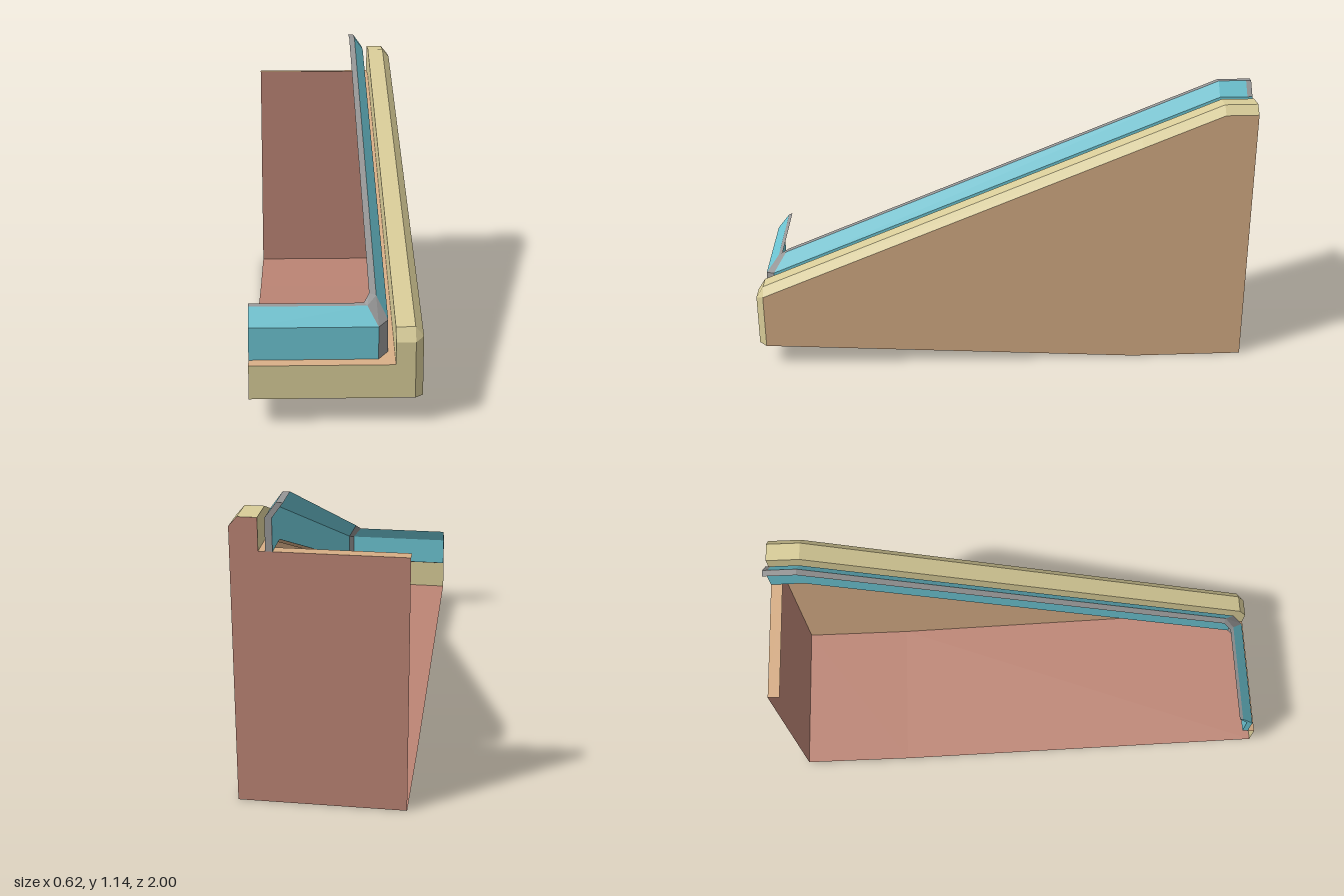
import * as THREE from 'three';

const material = (name, color) => {
  const m = new THREE.MeshStandardMaterial({ color, side: THREE.DoubleSide });
  m.name = name;
  return m;
};

// Flat-shaded sheet: each face is a convex list of [x, y, z] corners
function sheet(group, name, mat, faces) {
  const pos = [];
  for (const f of faces)
    for (let i = 1; i < f.length - 1; i++) pos.push(...f[0], ...f[i], ...f[i + 1]);
  const geo = new THREE.BufferGeometry();
  geo.setAttribute('position', new THREE.Float32BufferAttribute(pos, 3));
  geo.computeVertexNormals();
  const mesh = new THREE.Mesh(geo, mat);
  mesh.name = name;
  group.add(mesh);
}

// Quads joining two polylines with the same number of points
const strip = (a, b) => a.slice(1).map((p, i) => [a[i], p, b[i + 1], b[i]]);

// Height of the sloping rail, and of the underside
const rail = (z) => 0.35 + (0.74 * (0.97 - Math.max(-0.87, Math.min(0.97, z)))) / 1.84;
const under = (z) => (Math.max(0, z + 0.55) * 0.095) / 1.55;
const ledgeY = (z) => (z > 0.97 ? 0.22 : rail(z) - 0.12);

export function createModel() {
  const g = new THREE.Group();
  g.name = 'slopedTrough';
  const tan = material('tan', 0xd6ad85);
  const cream = material('cream', 0xd8cc98);
  const pink = material('dusty pink', 0xbb8474);
  const teal = material('teal', 0x6cc4d2);
  const grey = material('grey', 0x969696);

  const zs = [0.97, -0.55, -0.87, -1];
  const run = (x, y) => zs.map((z) => [x, y(z), z]);

  // Side wall
  sheet(g, 'sideWall', tan, strip(run(0.31, under), run(0.31, (z) => rail(z) - 0.035)));

  // Floor, with the front corner cut off
  sheet(g, 'floor', pink, [
    [[-0.31, under(1), 1], [0.28, under(1), 1], [0.31, under(0.97), 0.97], [0.31, 0, -0.55], [-0.31, 0, -0.55]],
    [[-0.31, 0, -0.55], [0.31, 0, -0.55], [0.31, 0, -1], [-0.31, 0, -1]],
  ]);

  // Back wall, taller behind the rail
  sheet(g, 'backWall', pink, [
    [[-0.31, 0, -1], [0.21, 0, -1], [0.21, 0.97, -1], [-0.31, 0.97, -1]],
    [[0.21, 0, -1], [0.31, 0, -1], [0.31, 1.055, -1], [0.28, 1.09, -1], [0.21, 1.09, -1]],
  ]);

  // Front wall with its chamfered corner
  const f0 = under(1);
  sheet(g, 'frontWall', cream, [
    [[-0.31, f0, 1], [0.21, f0, 1], [0.21, 0.22, 1], [-0.31, 0.22, 1]],
    [[0.21, f0, 1], [0.28, f0, 1], [0.28, 0.303, 1], [0.21, 0.303, 1]],
    [[0.28, f0, 1], [0.31, under(0.97), 0.97], [0.31, 0.315, 0.97], [0.28, 0.303, 1]],
  ]);

  // Rail: top, outer chamfer, inner step and front slope
  sheet(g, 'rail', cream, [
    ...strip(run(0.21, rail), run(0.28, rail)),
    ...strip(run(0.28, rail), run(0.31, (z) => rail(z) - 0.035)),
    ...strip(run(0.21, ledgeY), run(0.21, rail)),
    [[0.21, 0.22, 1], [0.21, 0.303, 1], [0.21, 0.35, 0.97], [0.21, 0.23, 0.97]],
    [[0.21, 0.303, 1], [0.28, 0.303, 1], [0.28, 0.35, 0.97], [0.21, 0.35, 0.97]],
    [[0.28, 0.303, 1], [0.31, 0.315, 0.97], [0.28, 0.35, 0.97]],
  ]);

  // Ledges around the opening
  const lz = 0.945;
  sheet(g, 'ledge', tan, [
    ...strip(run(0.16, ledgeY), run(0.21, ledgeY)),
    [[-0.31, 0.22, 1], [0.21, 0.22, 1], [0.21, 0.23, 0.97], [-0.31, 0.23, 0.97]],
    [[-0.31, 0.23, 0.97], [0.16, 0.23, 0.97], [0.16, ledgeY(lz), lz], [-0.31, ledgeY(lz), lz]],
    [[-0.31, 0.97, -1], [0.16, 0.97, -1], [0.16, 0.97, -0.955], [-0.31, 0.97, -0.955]],
  ]);

  // Lip cross-section: outer base, shoulder, crest, then down the inside
  const section = ([ox, oz], [tx, tz], [ux, uz], [ix, iz], h) => [
    [ox, ledgeY(oz), oz], [ox, rail(oz), oz], [tx, rail(tz) + h, tz],
    [ux, rail(uz) + h, uz], [ix, rail(iz), iz], [ix, ledgeY(iz), iz],
  ];
  const sideSection = (z) => section([0.185, z], [0.145, z], [0.12, z], [0.16, z], 0.055);
  const sections = [
    section([-0.31, 0.97], [-0.31, 0.92], [-0.31, 0.905], [-0.31, 0.945], 0.042),
    section([0.15, 0.97], [0.112, 0.92], [0.1, 0.905], [0.14, 0.945], 0.042),
    section([0.185, 0.935], [0.145, 0.885], [0.12, 0.875], [0.16, 0.925], 0.055),
    ...[-0.87, -0.98, -1].map(sideSection),
  ];
  const tealFaces = [sections[0]];
  const greyFaces = [];
  for (let s = 0; s < sections.length - 1; s++)
    strip(sections[s], sections[s + 1]).forEach((face, k) => {
      const isGrey = k === 2 || s === 1 || (s === 4 && k === 1);
      (isGrey ? greyFaces : tealFaces).push(face);
    });
  // Back end of the lip
  const e = sections[5];
  greyFaces.push([e[0], e[1], e[4], e[5]], [e[1], e[2], e[3], e[4]]);
  // Front end cap is split so both halves stay convex
  const c = tealFaces.shift();
  tealFaces.push([c[0], c[1], c[4], c[5]], [c[1], c[2], c[3], c[4]]);
  sheet(g, 'lip', teal, tealFaces);
  sheet(g, 'lipEdge', grey, greyFaces);

  return g;
}
